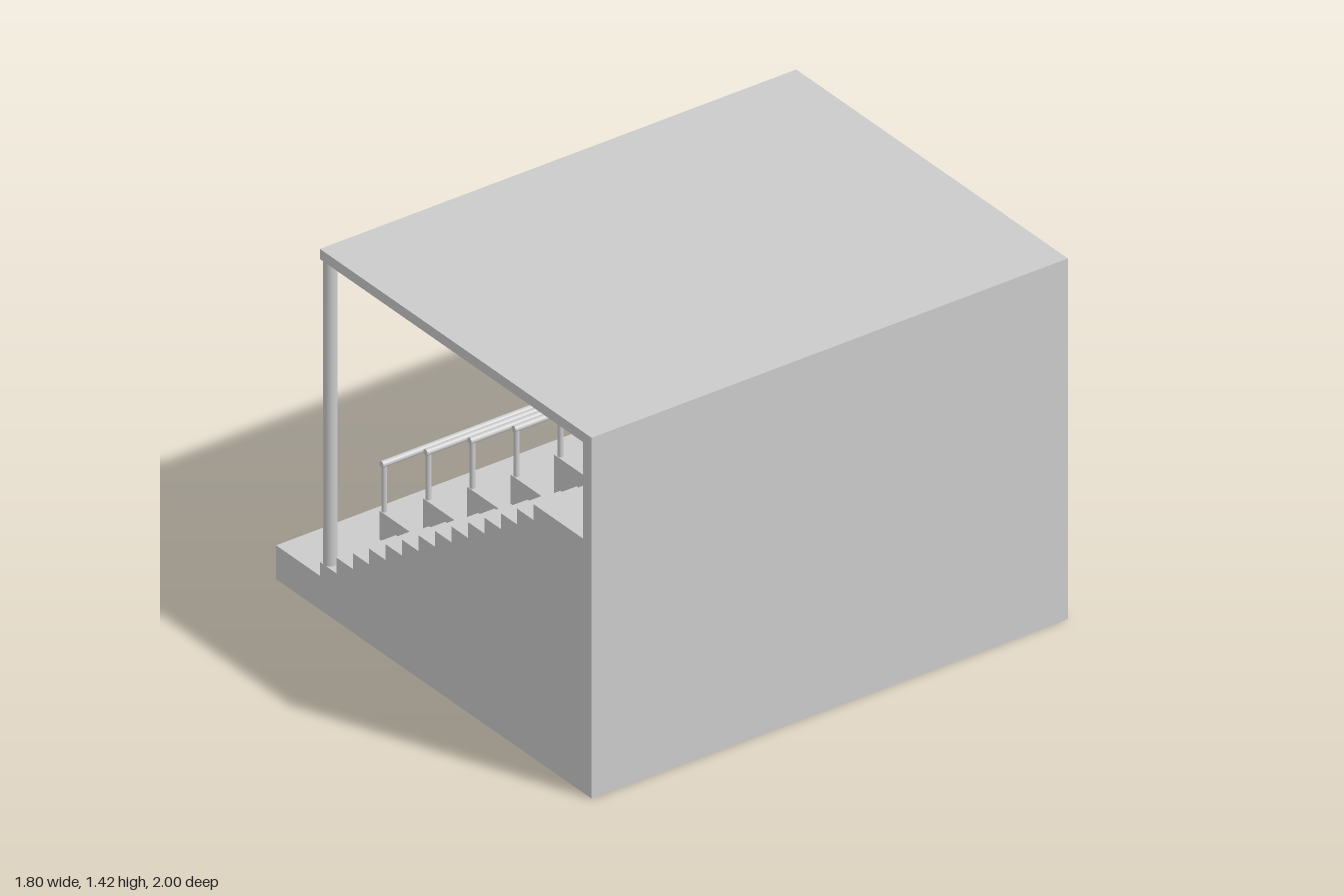
import * as THREE from 'three';

const grey = new THREE.MeshStandardMaterial({ color: 0xcccccc });

export function createModel() {
  const stand = new THREE.Group();
  stand.name = 'grandstand';

  const add = (name, geometry, x = 0, y = 0, z = 0) => {
    const mesh = new THREE.Mesh(geometry, grey);
    mesh.name = name;
    mesh.position.set(x, y, z);
    stand.add(mesh);
    return mesh;
  };

  const BACK = 0.9, WALL = 0.85, FRONT = -0.65, AISLE = 0.75;
  const TOP = 1.42, ROOF = 1.38, WALKWAY = 0.133;

  // Solid block under a flight of steps; each step is [start x, top y]
  const flight = (steps, depth) => {
    const shape = new THREE.Shape();
    shape.moveTo(BACK, 0);
    shape.lineTo(BACK, 1);
    let previous = null;
    for (const [x, y] of [...steps].reverse()) {
      if (previous !== null) shape.lineTo(previous, y);
      shape.lineTo(x, y);
      previous = x;
    }
    shape.lineTo(-BACK, 0);
    shape.closePath();
    return new THREE.ExtrudeGeometry(shape, { depth, bevelEnabled: false });
  };

  // Wide seating tiers in the middle
  const tierTops = [0.301, 0.469, 0.635, 0.802, 1];
  const tiers = [[-BACK, WALKWAY], ...tierTops.map((y, i) => [FRONT + i * 0.249, y])];
  add('seatingTiers', flight(tiers, 2 * AISLE), 0, 0, -AISLE);

  // Narrow stairs along both sides
  const stairs = [[-BACK, WALKWAY]];
  for (let i = 0; i < 14; i++) stairs.push([FRONT + i * 0.0938, 0.1875 + i * 0.0625]);
  add('stairsLeft', flight(stairs, 1 - AISLE), 0, 0, AISLE);
  add('stairsRight', flight(stairs, 1 - AISLE), 0, 0, -1);

  // Rear wall and roof slab
  add('rearWall', new THREE.BoxGeometry(BACK - WALL, ROOF - 1, 2), (BACK + WALL) / 2, (1 + ROOF) / 2);
  add('roof', new THREE.BoxGeometry(BACK - FRONT, TOP - ROOF, 2), (BACK + FRONT) / 2, (TOP + ROOF) / 2);

  // Round columns at the open corners of the roof
  const columnHeight = ROOF - 0.1875;
  for (const side of [-1, 1]) {
    add('roofColumn', new THREE.CylinderGeometry(0.025, 0.025, columnHeight, 24),
      FRONT + 0.025, 0.1875 + columnHeight / 2, side * 0.975);
  }

  // A handrail on two posts at the front edge of every tier
  tierTops.forEach((y, i) => {
    const x = -0.639 + i * 0.2515;
    const rail = add('handrail', new THREE.CylinderGeometry(0.0125, 0.0125, 1.5, 16), x, y + 0.187, 0);
    rail.rotation.x = Math.PI / 2;
    for (const side of [-1, 1]) {
      add('railPost', new THREE.CylinderGeometry(0.01, 0.01, 0.187, 16), x, y + 0.0935, side * 0.738);
    }
  });

  return stand;
}
